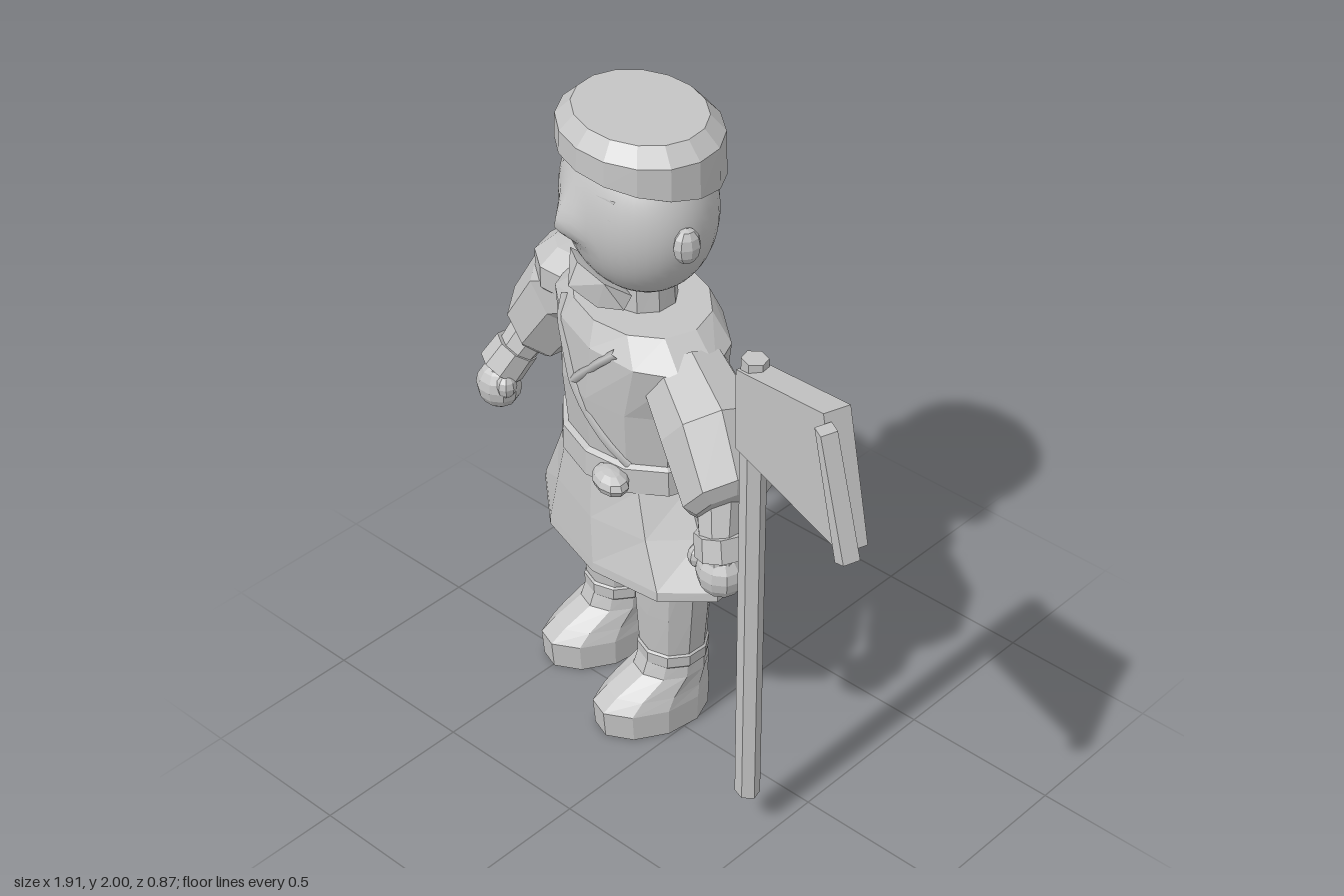
import * as THREE from 'three';
import { ConvexGeometry } from 'three/addons/geometries/ConvexGeometry.js';

const grey = new THREE.MeshStandardMaterial({ color: 0xc4c4c4 });
grey.name = 'plain grey';
const V = (x, y, z) => new THREE.Vector3(x, y, z);

function add(parent, name, geometry) {
  const mesh = new THREE.Mesh(geometry, grey);
  mesh.name = name;
  parent.add(mesh);
  return mesh;
}

// Flat-faced skin over a list of rings, capped at both ends
function loft(rings) {
  const pos = [];
  const tri = (...p) => p.forEach(v => pos.push(v.x, v.y, v.z));
  const n = rings[0].length;
  const mid = r => r.reduce((s, p) => s.add(p), V(0, 0, 0)).divideScalar(n);
  const first = rings[0], last = rings[rings.length - 1];
  const c0 = mid(first), c1 = mid(last);
  for (let i = 0; i < n; i++) {
    const j = (i + 1) % n;
    for (let k = 0; k + 1 < rings.length; k++) {
      const a = rings[k], b = rings[k + 1];
      tri(a[i], a[j], b[j]);
      tri(a[i], b[j], b[i]);
    }
    tri(c0, first[j], first[i]);
    tri(c1, last[i], last[j]);
  }
  const g = new THREE.BufferGeometry();
  g.setAttribute('position', new THREE.Float32BufferAttribute(pos, 3));
  g.computeVertexNormals();
  return g;
}

// Level oval ring; tilt raises it per unit of x and z
function oval(y, a, b, n, x = 0, z = 0, tiltX = 0, tiltZ = 0) {
  return Array.from({ length: n }, (_, i) => {
    const t = (i + 0.5) / n * Math.PI * 2;
    const px = a * Math.sin(t), pz = b * Math.cos(t);
    return V(x + px, y + px * tiltX + pz * tiltZ, z + pz);
  });
}

// Tapered limb along points given as [x, y, z, radius]
function limb(points, n) {
  const at = p => V(p[0], p[1], p[2]);
  const dir = at(points[points.length - 1]).sub(at(points[0])).normalize();
  const q = new THREE.Quaternion().setFromUnitVectors(V(0, 1, 0), dir);
  return loft(points.map(p => oval(0, p[3], p[3], n).map(v => v.applyQuaternion(q).add(at(p)))));
}

function ball(parent, name, p, s, w = 8, h = 6) {
  const g = new THREE.SphereGeometry(1, w, h).toNonIndexed();
  g.scale(...s);
  g.computeVertexNormals();
  add(parent, name, g).position.set(...p);
}

const TORSO = [[0.9, 0.28, 0.22], [0.97, 0.275, 0.215], [1.15, 0.295, 0.23], [1.33, 0.36, 0.22], [1.4, 0.25, 0.19]];

// Front surface of the torso at a given x and y
function chest(x, y) {
  let k = 0;
  while (k < TORSO.length - 2 && y > TORSO[k + 1][0]) k++;
  const [p, q] = [TORSO[k], TORSO[k + 1]];
  const t = (y - p[0]) / (q[0] - p[0]);
  const a = p[1] + (q[1] - p[1]) * t, b = p[2] + (q[2] - p[2]) * t;
  return V(x, y, 0.975 * b * Math.sqrt(Math.max(0, 1 - (x / a) ** 2)));
}

function strap(parent, name, [x0, y0, x1, y1], r) {
  const pts = [0, 0.25, 0.5, 0.75, 1].map(t => chest(x0 + (x1 - x0) * t, y0 + (y1 - y0) * t));
  add(parent, name, new THREE.TubeGeometry(new THREE.CatmullRomCurve3(pts), 8, r, 4).toNonIndexed());
}

function buildHead(body) {
  const head = new THREE.Group();
  head.name = 'headGroup';
  body.add(head);

  // Smooth head with the nose pulled out of the face
  const g = new THREE.SphereGeometry(1, 40, 32);
  g.scale(0.272, 0.27, 0.213);
  const p = g.attributes.position;
  for (let i = 0; i < p.count; i++) {
    const x = p.getX(i), y = p.getY(i) + 0.03;
    if (p.getZ(i) > 0) {
      const dy = y > 0 ? y / 0.08 : y / 0.035;
      p.setZ(i, p.getZ(i) + 0.05 * Math.exp(-((x / 0.05) ** 2) - dy * dy));
    }
  }
  g.computeVertexNormals();
  add(head, 'head', g).position.set(0, 1.72, 0.006);

  // Round cap, lower at the back
  add(head, 'cap', loft([
    oval(1.845, 0.272, 0.216, 16, 0, 0, 0, 0.16), oval(1.85, 0.281, 0.227, 16, 0, 0, 0, 0.16),
    oval(1.955, 0.278, 0.224, 16), oval(2.0, 0.225, 0.182, 16),
  ]));

  for (const s of [-1, 1]) {
    ball(head, 'ear', [s * 0.28, 1.71, 0.0], [0.032, 0.055, 0.042]);
    // Thin lids and brows that follow the curve of the face
    for (const [name, y, z] of [['eyelid', 1.775, 0.191], ['brow', 1.825, 0.179]]) {
      const curve = new THREE.CatmullRomCurve3([
        V(s * 0.055, y - 0.006, z + 0.012), V(s * 0.105, y, z), V(s * 0.16, y - 0.004, z - 0.022),
      ]);
      add(head, name, new THREE.TubeGeometry(curve, 6, 0.005, 4));
    }
  }

  // Faceted beard
  const beard = [V(0, 1.56, 0.2), V(0, 1.49, 0.23), V(0, 1.45, 0.15), V(0, 1.47, 0.08)];
  for (const s of [-1, 1]) {
    beard.push(V(s * 0.15, 1.465, 0.13), V(s * 0.11, 1.54, 0.17), V(s * 0.08, 1.45, 0.18), V(s * 0.1, 1.47, 0.08));
  }
  add(head, 'beard', new ConvexGeometry(beard));
  add(body, 'neck', loft([oval(1.36, 0.115, 0.105, 10), oval(1.52, 0.105, 0.1, 10)]));
}

function buildLegs(body) {
  for (const s of [-1, 1]) {
    const x = s * 0.185 + 0.006;
    const ring = (y, a, b, z = 0) => oval(y, a, b, 10, x, z);
    add(body, 'leg', loft([ring(0.24, 0.1, 0.102), ring(0.42, 0.12, 0.112), ring(0.72, 0.15, 0.12)]));
    add(body, 'bootBand', loft([ring(0.225, 0.1, 0.104), ring(0.235, 0.109, 0.11), ring(0.272, 0.11, 0.111), ring(0.28, 0.102, 0.105)]));
    add(body, 'boot', loft([
      ring(0, 0.118, 0.185, 0.075), ring(0.09, 0.12, 0.19, 0.077), ring(0.13, 0.112, 0.165, 0.055),
      ring(0.19, 0.106, 0.118, 0.008), ring(0.25, 0.1, 0.106),
    ]));
  }
}

function buildTorso(body) {
  add(body, 'torso', loft(TORSO.map(([y, a, b]) => oval(y, a, b, 12))));
  add(body, 'belt', loft([
    oval(0.88, 0.285, 0.225, 12), oval(0.885, 0.296, 0.235, 12), oval(0.965, 0.29, 0.232, 12), oval(0.975, 0.275, 0.215, 12),
  ]));
  add(body, 'skirt', loft([
    oval(0.6, 0.4, 0.21, 10, 0, 0, 0.08), oval(0.57, 0.475, 0.258, 10, 0, 0, 0.08), oval(0.6, 0.472, 0.256, 10, 0, 0, 0.08),
    oval(0.75, 0.365, 0.243, 10, 0, 0, 0.03), oval(0.89, 0.285, 0.225, 10),
  ]));
  // Pointed collar and diagonal shoulder strap
  strap(body, 'collarEdge', [-0.14, 1.37, 0, 1.17], 0.014);
  strap(body, 'collarEdge', [0.18, 1.35, 0, 1.17], 0.014);
  strap(body, 'strap', [0, 1.17, 0.2, 0.97], 0.014);
  ball(body, 'pouch', [0.19, 0.93, 0.2], [0.075, 0.038, 0.05], 10, 6);
}

function buildArms(model) {
  const arms = [
    { side: 'left', sleeve: [[-0.06, 1.27, -0.06, 0.13], [0.13, 1.2, 0.03, 0.15], [0.24, 1.05, 0.08, 0.135], [0.25, 1.02, 0.085, 0.1]],
      fore: [[0.2, 1.05, 0.07, 0.075], [0.235, 0.93, 0.11, 0.062], [0.25, 0.84, 0.12, 0.055]],
      hand: [0.25, 0.81, 0.12], thumb: [0.175, 0.835, 0.13] },
    { side: 'right', sleeve: [[-0.54, 1.27, -0.22, 0.13], [-0.69, 1.19, -0.255, 0.145], [-0.8, 1.03, -0.24, 0.13], [-0.815, 0.995, -0.235, 0.1]],
      fore: [[-0.79, 1.06, -0.24, 0.075], [-0.845, 0.93, -0.16, 0.062], [-0.875, 0.84, -0.12, 0.055]],
      hand: [-0.88, 0.81, -0.11], thumb: [-0.825, 0.835, -0.09] },
  ];
  for (const { side, sleeve, fore, hand, thumb } of arms) {
    const arm = new THREE.Group();
    arm.name = side + 'Arm';
    model.add(arm);
    add(arm, 'sleeve', limb(sleeve, 8));
    add(arm, 'forearm', limb(fore, 8));
    const [m, e] = [fore[1], fore[2]];
    add(arm, 'cuff', limb([[m[0], m[1] + 0.01, m[2], 0.072], [e[0], e[1] + 0.03, e[2], 0.076]], 8));
    ball(arm, 'hand', hand, [0.075, 0.078, 0.068], 10, 8);
    ball(arm, 'thumb', thumb, [0.032, 0.04, 0.034]);
  }
  // Armour pad on the right shoulder
  const ring = (y, r) => oval(y, r, r, 10, -0.625, -0.27);
  add(model, 'shoulderPad', loft([ring(1.22, 0.14), ring(1.25, 0.17), ring(1.32, 0.17), ring(1.37, 0.11), ring(1.38, 0.04)]));
}

// Extruded plate from [x, y] corners between two depths
function plate(corners, z0, z1) {
  const shape = new THREE.Shape(corners.map(c => new THREE.Vector2(...c)));
  const g = new THREE.ExtrudeGeometry(shape, { depth: z1 - z0, bevelEnabled: false });
  return g.translate(0, 0, z0);
}

function buildPoleaxe(model) {
  const axe = new THREE.Group();
  axe.name = 'poleAxe';
  axe.position.set(0.425, 0, 0.19);
  axe.rotation.y = -0.31;
  model.add(axe);
  add(axe, 'pole', loft([oval(0.13, 0.04, 0.036, 6), oval(1.65, 0.04, 0.036, 6)]));
  add(axe, 'blade', plate([[-0.03, 1.36], [0.5, 1.36], [0.395, 1.73], [-0.03, 1.61]], -0.04, 0.04));
  add(axe, 'bladeEdge', plate([[0.525, 1.365], [0.565, 1.38], [0.44, 1.7], [0.41, 1.71]], 0.025, 0.075));
}

export function createModel() {
  const model = new THREE.Group();
  model.name = 'figureWithPoleAxe';
  const body = new THREE.Group();
  body.name = 'body';
  body.position.set(-0.275, 0, -0.12);
  body.rotation.y = -0.35;
  model.add(body);
  buildTorso(body);
  buildLegs(body);
  buildHead(body);
  buildArms(model);
  buildPoleaxe(model);
  return model;
}
